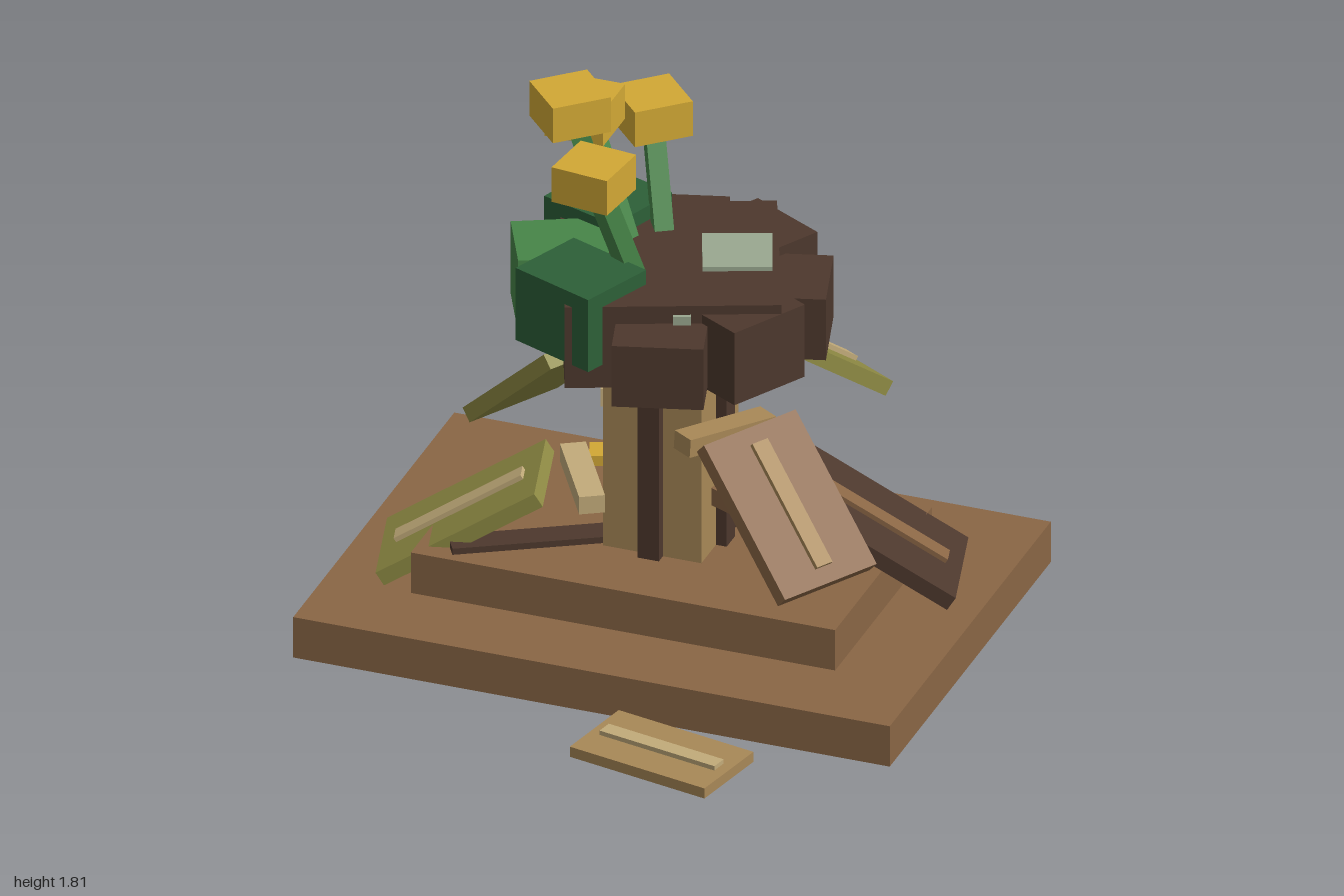
import * as THREE from 'three';

const mat = (name, color) => Object.assign(new THREE.MeshStandardMaterial({ color }), { name });
const M = {
  brown: mat('warm brown', 0x8a6645),
  tan: mat('tan', 0xa88857),
  dark: mat('dark bark', 0x4d382d),
  straw: mat('straw', 0xc2ab7a),
  olive: mat('dry olive', 0x8f8b44),
  darkGreen: mat('dark green', 0x2d6038),
  green: mat('fresh green', 0x478548),
  gold: mat('gold', 0xd2a835),
  sage: mat('pale sage', 0x9aa890),
};
const rad = THREE.MathUtils.degToRad;
const CZ = -0.07; // depth of the trunk axis

// Box by size and centre, turned about the vertical
function box(parent, name, m, [w, h, d], [x, y, z], turn = 0) {
  const b = new THREE.Mesh(new THREE.BoxGeometry(w, h, d), m);
  b.name = name;
  b.position.set(x, y, z);
  b.rotation.y = rad(turn);
  parent.add(b);
  return b;
}

// Square bar between two points
function bar(parent, name, m, a, b, w, h = w) {
  const p = new THREE.Vector3(...a), q = new THREE.Vector3(...b);
  const mid = p.clone().add(q).multiplyScalar(0.5);
  const s = box(parent, name, m, [w, h, p.distanceTo(q)], mid.toArray());
  s.lookAt(q);
  return s;
}

// Group at the trunk axis with +z pointing outwards
function spoke(parent, name, azimuth) {
  const g = new THREE.Group();
  g.name = name;
  g.position.z = CZ;
  g.rotation.y = rad(azimuth);
  parent.add(g);
  return g;
}

// Drooping plank leaf with its midrib and stalk
function leaf(parent, az, ri, yi, ro, yo, width, m, rib) {
  const g = spoke(parent, 'droopingLeaf', az);
  const blade = new THREE.Group();
  blade.name = 'leafBlade';
  blade.position.set(0, (yi + yo) / 2, (ri + ro) / 2);
  blade.rotation.x = Math.atan2(yi - yo, ro - ri);
  g.add(blade);
  const len = Math.hypot(ro - ri, yi - yo);
  box(blade, 'leafPlate', m, [width, 0.05, len], [0, -0.025, 0]);
  box(blade, 'midrib', rib, [0.06, 0.02, len * 0.8], [0, 0.005, 0]);
  const drop = yi > 0.6 ? 0.1 : 0.03;
  bar(g, 'leafStalk', rib, [0, yi - drop, 0.1], [0, yi - 0.035, ri + 0.04], 0.08, 0.06);
}

export function createModel() {
  const root = new THREE.Group();
  root.name = 'wiltedPlant';

  // Stepped base
  box(root, 'baseSlab', M.brown, [1.94, 0.14, 1.38], [0, 0.07, -0.08]);
  box(root, 'upperSlab', M.brown, [1.38, 0.14, 0.83], [0, 0.21, -0.075]);

  // Trunk with a dark rib on each side
  box(root, 'trunk', M.tan, [0.32, 0.7, 0.32], [0, 0.62, CZ]);
  for (let i = 0; i < 4; i++) {
    box(spoke(root, 'trunkSide', i * 90), 'trunkRib', M.dark, [0.07, 0.65, 0.05], [0, 0.605, 0.17]);
  }

  // Flat roots and a fallen bloom scrap on the upper slab
  box(spoke(root, 'rootLeft', -60), 'root', M.dark, [0.09, 0.022, 0.5], [0, 0.29, 0.43]);
  box(spoke(root, 'rootRight', 130), 'root', M.dark, [0.09, 0.022, 0.42], [0, 0.29, 0.39]);
  box(root, 'bloomScrap', M.gold, [0.09, 0.035, 0.09], [-0.35, 0.297, -0.42], 20);

  // Leaves: azimuth, inner radius and height, outer radius and height, width
  leaf(root, 60, 0.38, 0.8, 0.77, 0.43, 0.36, M.brown, M.tan);
  leaf(root, 150, 0.36, 0.89, 0.74, 0.61, 0.325, M.olive, M.straw);
  leaf(root, 240, 0.4, 0.78, 0.79, 0.43, 0.345, M.olive, M.straw);
  leaf(root, 105, 0.41, 0.5, 0.89, 0.2, 0.385, M.dark, M.brown);
  leaf(root, 195, 0.41, 0.46, 0.905, 0.17, 0.39, M.brown, M.tan);
  leaf(root, 285, 0.4, 0.48, 0.885, 0.18, 0.35, M.olive, M.straw);

  // Leaf lying on the ground
  const fallen = new THREE.Group();
  fallen.name = 'fallenLeaf';
  fallen.position.set(0.305, 0, 0.813);
  fallen.rotation.y = rad(-12);
  root.add(fallen);
  box(fallen, 'leafPlate', M.tan, [0.487, 0.035, 0.275], [0, 0.0175, 0]);
  box(fallen, 'midrib', M.straw, [0.415, 0.02, 0.052], [0, 0.04, 0]);

  // Head: turned core, dark blocks on one side
  box(root, 'headCore', M.dark, [0.66, 0.28, 0.66], [0, 1.1, CZ], 22);
  for (let i = 0; i < 5; i++) {
    const tall = i % 2;
    const g = spoke(root, 'headSide', 16 + i * 45);
    box(g, 'headBlock', M.dark, [0.28, tall ? 0.25 : 0.21, 0.22], [0, tall ? 1.085 : 1.075, tall ? 0.355 : 0.375]);
  }
  box(root, 'headPatch', M.sage, [0.214, 0.03, 0.214], [0.19, 1.24, -0.14], 21);
  box(root, 'headChip', M.sage, [0.055, 0.05, 0.05], [0.145, 1.185, 0.215], 20);

  // Living green blocks on the other side
  box(root, 'greenBlockFront', M.darkGreen, [0.3, 0.25, 0.26], [-0.19, 1.165, 0.2], -22);
  box(root, 'greenBlockSide', M.green, [0.25, 0.25, 0.28], [-0.335, 1.135, -0.005], -64);
  box(root, 'greenBlockBack', M.darkGreen, [0.28, 0.25, 0.27], [-0.28, 1.165, -0.27], -20);

  // Blooms on leaning stems: foot x and z, bloom x, y, z, turn
  for (const [fx, fz, x, y, z, turn] of [
    [-0.07, -0.2, -0.175, 1.55, -0.37, 43],
    [-0.15, -0.12, -0.325, 1.615, -0.19, 0],
    [-0.14, -0.05, -0.288, 1.75, 0.035, 43],
    [-0.07, 0.04, -0.15, 1.61, 0.195, -7],
  ]) {
    bar(root, 'bloomStem', M.green, [fx, 1.18, fz], [x, y, z], 0.06);
    box(root, 'bloom', M.gold, [0.19, 0.12, 0.19], [x, y, z], turn);
  }
  return root;
}
